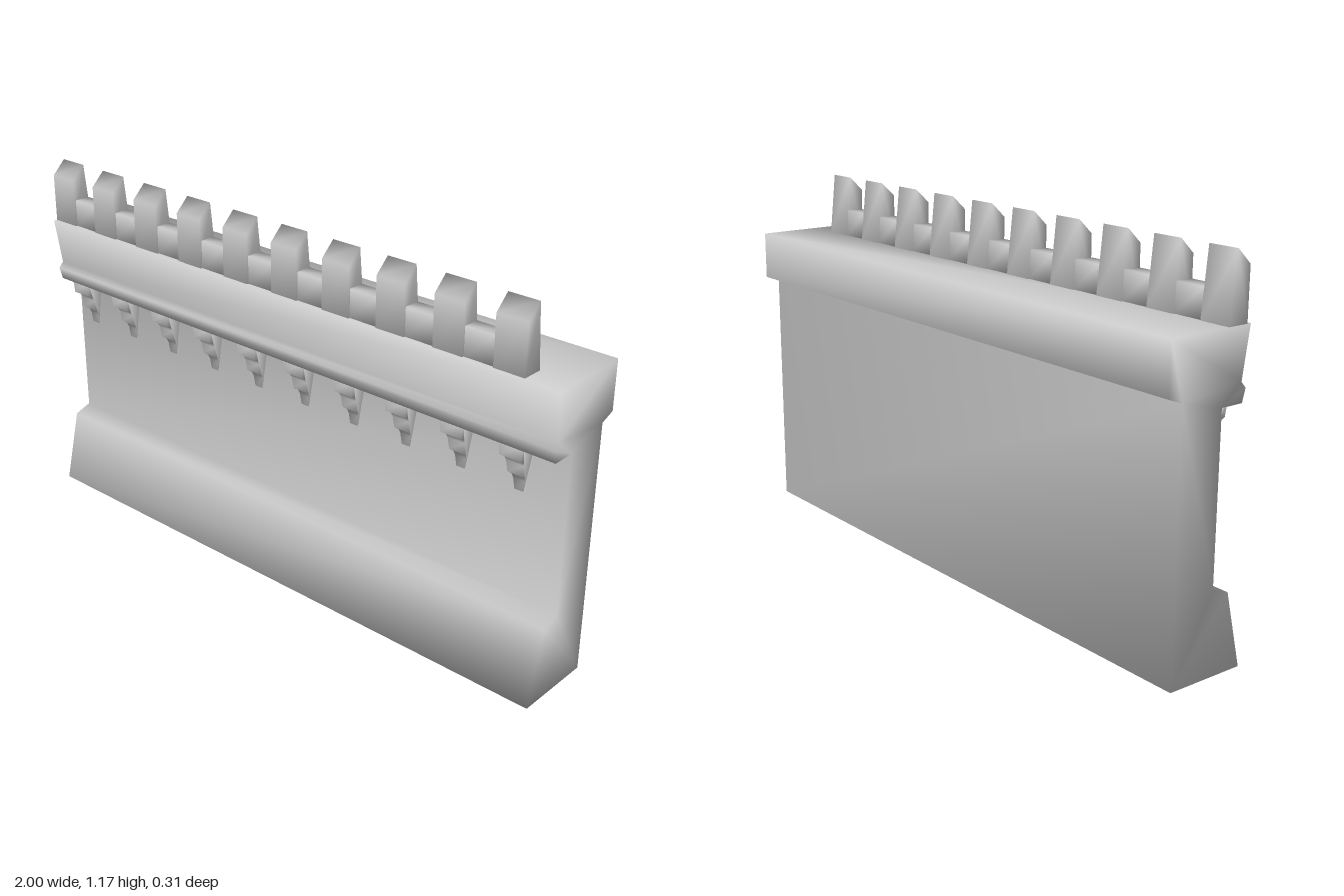
import * as THREE from 'three';
import { mergeVertices } from 'three/addons/utils/BufferGeometryUtils.js';

const material = new THREE.MeshStandardMaterial({ color: 0xcccccc });

// Extrude a [z, y] side profile along x, centred on x = 0, with soft shared normals
function extrudeProfile(points, width, shapeVertices) {
  const shape = new THREE.Shape(points.map(([z, y]) => new THREE.Vector2(z, y)));
  let geo = new THREE.ExtrudeGeometry(shape, { depth: width, bevelEnabled: false });
  geo.rotateY(-Math.PI / 2).translate(width / 2, 0, 0);
  geo.deleteAttribute('normal');
  geo.deleteAttribute('uv');
  geo = mergeVertices(geo);
  if (shapeVertices) shapeVertices(geo.attributes.position);
  geo.computeVertexNormals();
  return geo;
}

// Repeat one part along the wall
function row(name, geometry, count, startX, pitch) {
  const group = new THREE.Group();
  group.name = name + 's';
  for (let i = 0; i < count; i++) {
    const mesh = new THREE.Mesh(geometry, material);
    mesh.name = name;
    mesh.position.x = startX + i * pitch;
    group.add(mesh);
  }
  return group;
}

export function createModel() {
  const model = new THREE.Group();
  model.name = 'castleWall';

  // Wall with sloping foot and overhanging walkway
  const wall = new THREE.Mesh(extrudeProfile([
    [0.155, 0], [0.098, 0.235], [0.04, 0.255], [0.04, 0.76],
    [0.115, 0.76], [0.126, 0.80], [0.109, 0.818], [0.133, 0.97],
    [-0.153, 0.97], [-0.153, 0.815], [-0.105, 0.797], [-0.105, 0],
  ], 2), material);
  wall.name = 'wall';
  model.add(wall);

  // Tall merlons with slanted tops
  const merlon = extrudeProfile([
    [0.12, 0.97], [0.12, 1.125], [0.073, 1.17], [0.052, 0.97],
  ], 0.1);
  model.add(row('merlon', merlon, 10, -0.95, 0.199));

  // Low parapet blocks between the merlons
  const parapet = extrudeProfile([
    [0.114, 0.97], [0.114, 1.058], [0.061, 1.058], [0.057, 0.97],
  ], 0.1);
  model.add(row('parapetBlock', parapet, 9, -0.8505, 0.199));

  // Stepped corbels under the overhang, narrowing downwards
  const corbel = extrudeProfile([
    [0.035, 0.765], [0.098, 0.765], [0.098, 0.715], [0.078, 0.705], [0.07, 0.69],
    [0.068, 0.655], [0.05, 0.642], [0.044, 0.628], [0.043, 0.595], [0.035, 0.595],
  ], 1, (pos) => {
    for (let i = 0; i < pos.count; i++) {
      const t = (pos.getY(i) - 0.595) / 0.165;
      pos.setX(i, pos.getX(i) * (0.028 + 0.054 * t));
    }
  });
  model.add(row('corbel', corbel, 10, -0.925, 0.197));

  return model;
}
